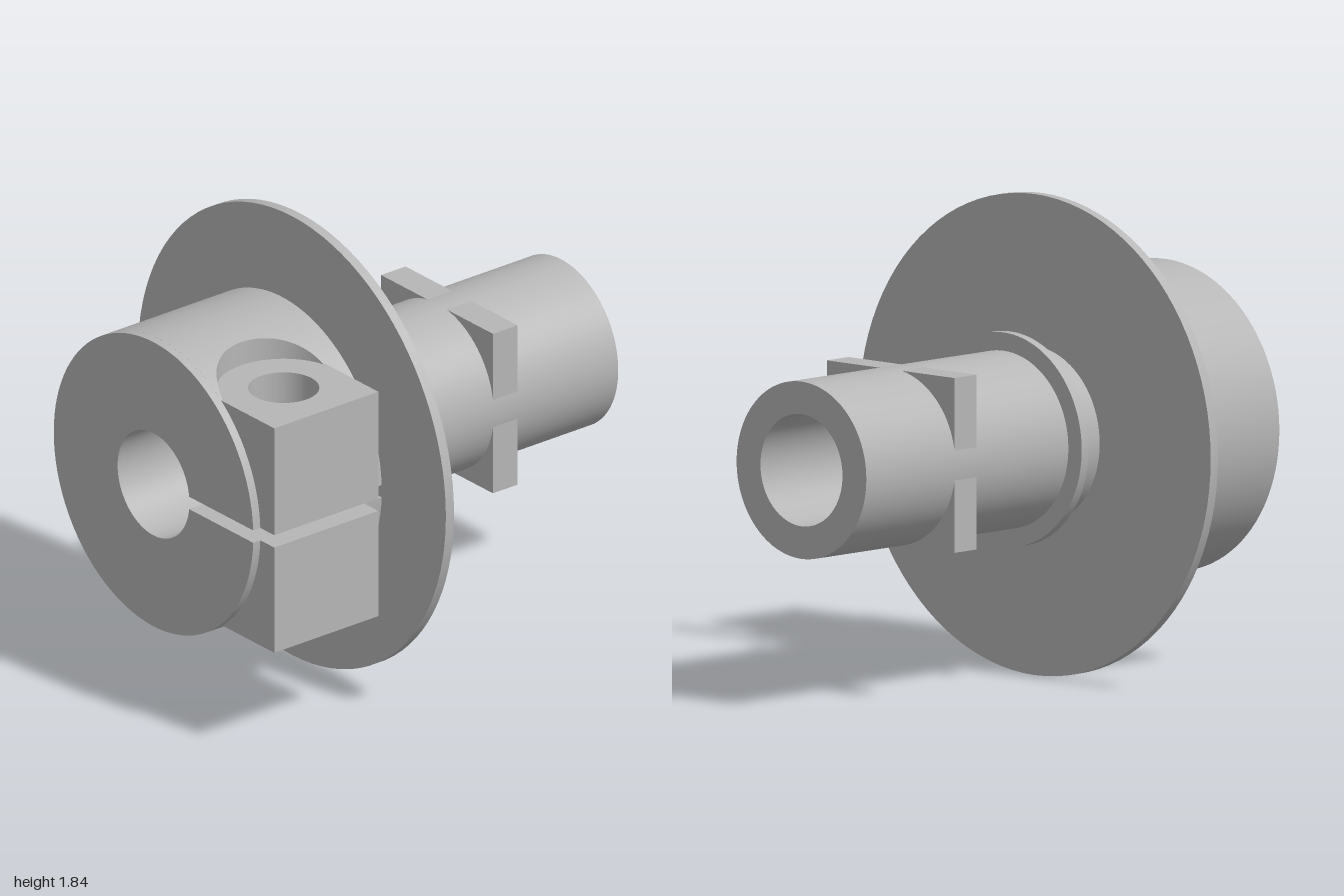
import * as THREE from 'three';
import { toCreasedNormals } from 'three/addons/utils/BufferGeometryUtils.js';

const CY = 0.925;                       // height of the main axis
const BORE = 0.215, SHAFT = 0.34, COLLAR = 0.597;
const SLIT = 0.026;                     // half height of the clamp slit
const LUG_Z = 0.71, LUG_HALF = 0.255;   // lug centre and half width along z
const LUG_TOP = 0.475, LUG_BOTTOM = -0.468;  // relative to the axis
const HOLE_X = 0.425, HOLE_R = 0.135;
const CUT_X = 0.22;                     // where the collar hands over to the lug blocks

export function createModel() {
  const model = new THREE.Group();
  model.name = 'clampHub';
  const steel = new THREE.MeshStandardMaterial({ color: 0xb6b6b6 });
  steel.name = 'grey steel';

  const add = (name, geometry) => {
    const mesh = new THREE.Mesh(geometry, steel);
    mesh.name = name;
    model.add(mesh);
    return mesh;
  };
  const extrude = (shape, depth) => toCreasedNormals(
    new THREE.ExtrudeGeometry(shape, { depth, bevelEnabled: false, curveSegments: 48 }), 0.5);

  // Extrude a front profile (drawn around the axis) from z0 to z1
  const alongZ = (name, shape, z0, z1) =>
    add(name, extrude(shape, z1 - z0).translate(0, CY, z0));

  // Extrude a plan outline upward from y0 to y1 (relative to the axis)
  const alongY = (name, shape, y0, y1) =>
    add(name, extrude(shape, y1 - y0).rotateX(-Math.PI / 2).translate(0, CY + y0, LUG_Z));

  const withHole = (shape, x, r) => {
    shape.holes.push(new THREE.Path().absarc(x, 0, r, 0, Math.PI * 2, true));
    return shape;
  };
  const ring = (outer, inner) =>
    withHole(new THREE.Shape().absarc(0, 0, outer, 0, Math.PI * 2, false), 0, inner);
  const rect = (x0, x1, h) => new THREE.Shape([
    new THREE.Vector2(x0, -h), new THREE.Vector2(x1, -h),
    new THREE.Vector2(x1, h), new THREE.Vector2(x0, h)]);

  // Hollow shaft with its flanges
  alongZ('shaft', ring(SHAFT, BORE), -1, 0.37);
  alongZ('disc', ring(0.922, 0.3), 0.282, 0.322);
  alongZ('shoulderRing', ring(0.41, 0.3), 0.11, 0.148);
  alongZ('squarePlate', withHole(rect(-0.335, 0.335, 0.335), 0, 0.3), -0.51, -0.39);

  // Split collar: full slices in front of and behind the lug
  const full = Math.PI * 2;
  const a = Math.asin(SLIT / COLLAR), b = Math.asin(SLIT / BORE);
  const splitRing = new THREE.Shape();
  splitRing.absarc(0, 0, COLLAR, a, full - a, false);
  splitRing.absarc(0, 0, BORE, full - b, b, true);
  splitRing.closePath();
  const z0 = LUG_Z - LUG_HALF, z1 = LUG_Z + LUG_HALF;
  alongZ('collarBack', splitRing, 0.37, z0);
  alongZ('collarFront', splitRing, z1, 1);

  // Collar slice beside the lug, stepped down for the bolt pocket
  const pocketX = HOLE_X - LUG_HALF;
  const middle = new THREE.Shape();
  middle.moveTo(CUT_X, LUG_TOP);
  middle.lineTo(pocketX, LUG_TOP);
  middle.absarc(0, 0, COLLAR, Math.acos(pocketX / COLLAR), full - Math.acos(CUT_X / COLLAR), false);
  middle.lineTo(CUT_X, -SLIT);
  middle.absarc(0, 0, BORE, full - b, b, true);
  middle.lineTo(CUT_X, SLIT);
  middle.closePath();
  alongZ('collarMiddle', middle, z0, z1);

  // Clamp lugs above and below the slit, drilled for the bolt
  const lug = withHole(rect(CUT_X, 0.68, LUG_HALF), HOLE_X, HOLE_R);
  alongY('upperLug', lug, SLIT, LUG_TOP);
  alongY('lowerLug', lug, LUG_BOTTOM, -SLIT);

  // Collar skin left under the lower lug
  const skin = new THREE.Shape();
  skin.moveTo(CUT_X, LUG_BOTTOM);
  skin.absarc(0, 0, COLLAR, -Math.acos(CUT_X / COLLAR), Math.asin(LUG_BOTTOM / COLLAR), false);
  skin.closePath();
  alongZ('collarUnderside', skin, z0, z1);

  // Collar corners around the round pocket: a box bent to the pocket and collar curves
  const endX = Math.sqrt(COLLAR ** 2 - LUG_TOP ** 2);
  for (const side of [-1, 1]) {
    const corner = new THREE.BoxGeometry(1, 1, 1, 28, 1, 1);
    const p = corner.attributes.position;
    for (let i = 0; i < p.count; i++) {
      const t = p.getX(i) + 0.5;
      const x = pocketX + (endX - pocketX) * t * t;
      const y = p.getY(i) > 0 ? Math.sqrt(Math.max(COLLAR ** 2 - x * x, LUG_TOP ** 2)) : LUG_TOP;
      const arc = Math.sqrt(Math.max(0, LUG_HALF ** 2 - (x - HOLE_X) ** 2));
      const outer = p.getZ(i) * side > 0;
      p.setXYZ(i, x, CY + y, LUG_Z + side * (outer ? LUG_HALF : arc));
    }
    corner.computeVertexNormals();
    add(side > 0 ? 'pocketCornerFront' : 'pocketCornerBack', corner);
  }

  return model;
}
